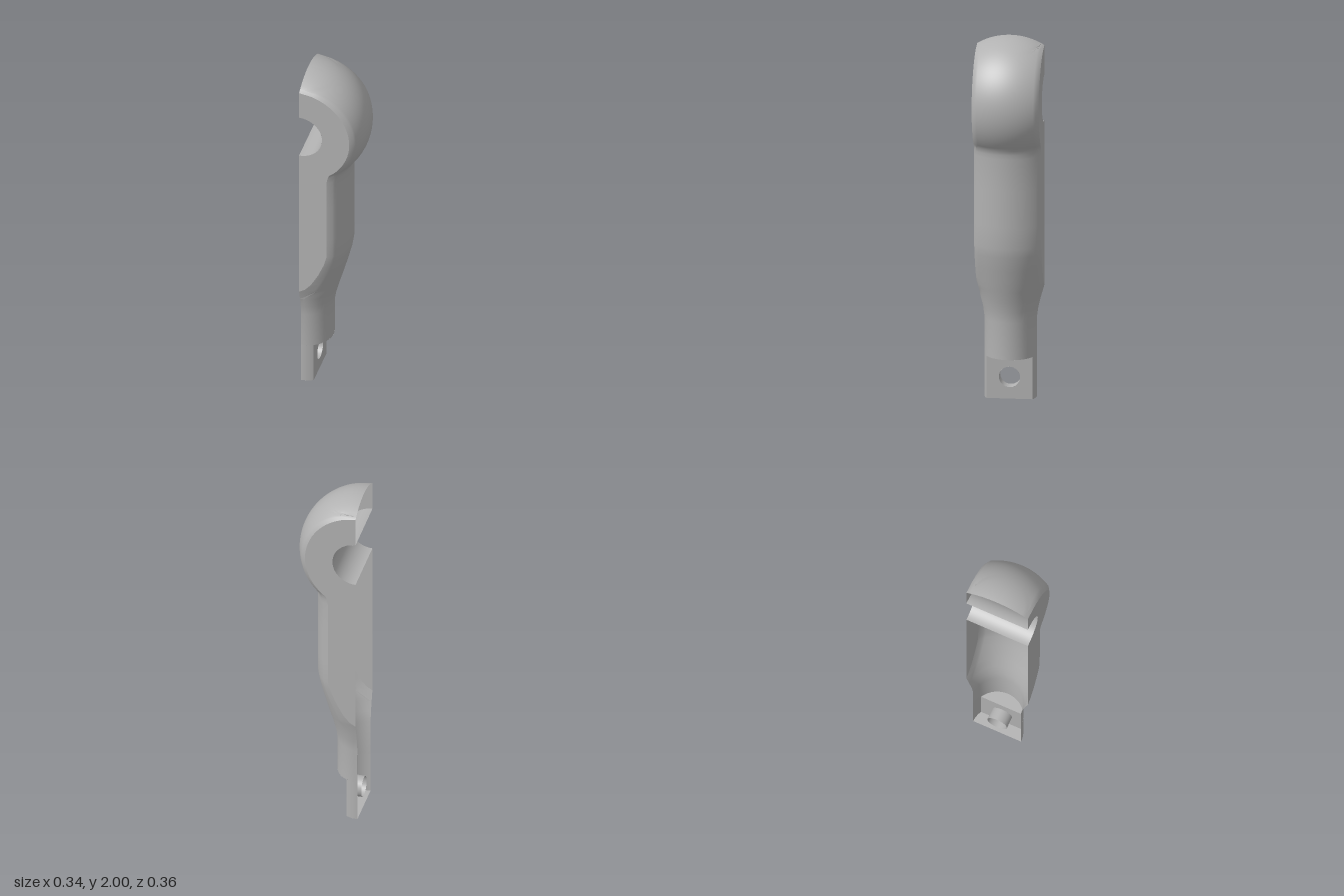
import * as THREE from 'three';
import { mergeVertices, toCreasedNormals } from 'three/addons/utils/BufferGeometryUtils.js';

const AXIS = -0.175;    // x of the open cut plane, which holds the round axis
const HALF = 0.18;      // flat sides at z = +-HALF
const SOFT = 0.165;     // where the softened edge begins
const BALL_Y = 1.66, BALL_R = 0.343, BORE_R = 0.127;
const STEM_R = 0.14, STEP_Y = 0.235, TAB_X = 0.065;

// Radius along the height, as [y, r] rows: stem, taper, shaft, ball
function profileRows() {
  const rows = [
    [STEP_Y, STEM_R], [0.44, STEM_R], [0.5, 0.148], [0.56, 0.163], [0.62, 0.18],
    [0.64, 0.186], [0.68, 0.197], [0.75, 0.216], [0.83, 0.236], [0.88, 0.244],
    [1.0, 0.245], [1.2, 0.245], [1.38, 0.245], [1.405, 0.248],
  ];
  const flatEnd = Math.acos(HALF / BALL_R);
  const add = (a) => rows.push([BALL_Y + BALL_R * Math.sin(a), BALL_R * Math.cos(a)]);
  for (let i = 0; i <= 24; i++) add(-0.74 + (flatEnd + 0.74) * i / 24);
  for (let i = 1; i <= 10; i++) add(flatEnd + (Math.PI / 2 - flatEnd) * i / 10);
  return rows;
}

// Outer edge of the flat side for a given radius
function flatEdge(r) {
  const z = Math.min(r, HALF);
  return { x: Math.max(0, Math.sqrt(Math.max(0, r * r - z * z)) - 0.014), z };
}

// Half-round skin, clipped at the flat sides with softened edges
function skinGeometry(rows) {
  const N = 24, pos = [], index = [], W = N + 3;
  for (const [y, r] of rows) {
    const e = flatEdge(r);
    const amax = r > SOFT ? Math.asin(SOFT / r) : Math.PI / 2;
    pos.push(AXIS + e.x, y, e.z);
    for (let i = 0; i <= N; i++) {
      const a = amax * (1 - 2 * i / N);
      pos.push(AXIS + r * Math.cos(a), y, r * Math.sin(a));
    }
    pos.push(AXIS + e.x, y, -e.z);
  }
  for (let j = 0; j < rows.length - 1; j++) {
    for (let i = 0; i < W - 1; i++) {
      const a = j * W + i, b = a + 1, c = a + W, d = c + 1;
      index.push(a, b, d, a, d, c);
    }
  }
  const g = new THREE.BufferGeometry();
  g.setAttribute('position', new THREE.Float32BufferAttribute(pos, 3));
  g.setIndex(index);
  return toCreasedNormals(mergeVertices(g, 1e-5), 0.6);
}

// Flat side with the half-round bore notch; s = 1 front, -1 back
function sideGeometry(rows, s) {
  const pts = rows.filter(([, r]) => r >= HALF - 1e-4)
    .map(([y, r]) => new THREE.Vector2(s * (AXIS + flatEdge(r).x), y));
  for (let i = 0; i <= 24; i++) {
    const a = Math.PI / 2 - Math.PI * i / 24;
    pts.push(new THREE.Vector2(s * (AXIS + BORE_R * Math.cos(a)), BALL_Y + BORE_R * Math.sin(a)));
  }
  const g = new THREE.ShapeGeometry(new THREE.Shape(pts));
  if (s < 0) g.rotateY(Math.PI);
  return g.translate(0, 0, s * HALF);
}

export function createModel() {
  const group = new THREE.Group();
  const grey = new THREE.MeshStandardMaterial({ color: 0xb2b2b2, side: THREE.DoubleSide });
  grey.name = 'plain grey';
  const add = (name, geometry) => {
    const mesh = new THREE.Mesh(geometry, grey);
    mesh.name = name;
    group.add(mesh);
  };
  const rows = profileRows();

  // Shaft and ball
  add('shaftAndBallSkin', skinGeometry(rows));
  add('frontFlat', sideGeometry(rows, 1));
  add('backFlat', sideGeometry(rows, -1));

  // Half-round bore through the ball
  add('ballBore', new THREE.CylinderGeometry(BORE_R, BORE_R, 2 * HALF, 32, 1, true, 0, Math.PI)
    .rotateX(Math.PI / 2).translate(AXIS, BALL_Y, 0));

  // Tab face with its pin hole
  const cut = Math.asin(TAB_X / STEM_R);
  const w = STEM_R * Math.cos(cut);
  const face = new THREE.Shape([
    new THREE.Vector2(-w, 0), new THREE.Vector2(w, 0),
    new THREE.Vector2(w, STEP_Y), new THREE.Vector2(-w, STEP_Y),
  ]);
  face.holes.push(new THREE.Path().absarc(0, 0.12, 0.057, 0, Math.PI * 2, true));
  add('tabFace', new THREE.ShapeGeometry(face, 24).rotateY(Math.PI / 2).translate(AXIS + TAB_X, 0, 0));
  add('pinHole', new THREE.CylinderGeometry(0.057, 0.057, TAB_X, 32, 1, true)
    .rotateZ(Math.PI / 2).translate(AXIS + TAB_X / 2, 0.12, 0));

  // Curved tab edges
  for (const [name, start] of [['tabFrontEdge', 0], ['tabBackEdge', Math.PI - cut]]) {
    add(name, new THREE.CylinderGeometry(STEM_R, STEM_R, STEP_Y, 6, 1, true, start, cut)
      .translate(AXIS, STEP_Y / 2, 0));
  }

  // Step under the stem
  const a = Math.PI / 2 - cut;
  const step = new THREE.Shape().absarc(0, 0, STEM_R, -a, a, false);
  add('stemStep', new THREE.ShapeGeometry(step, 20).rotateX(Math.PI / 2).translate(AXIS, STEP_Y, 0));

  // Tab foot
  const foot = new THREE.Shape();
  foot.absarc(0, 0, STEM_R, -Math.PI / 2, -a, false);
  foot.absarc(0, 0, STEM_R, a, Math.PI / 2, false);
  add('tabFoot', new THREE.ShapeGeometry(foot, 6).rotateX(Math.PI / 2).translate(AXIS, 0, 0));

  return group;
}
